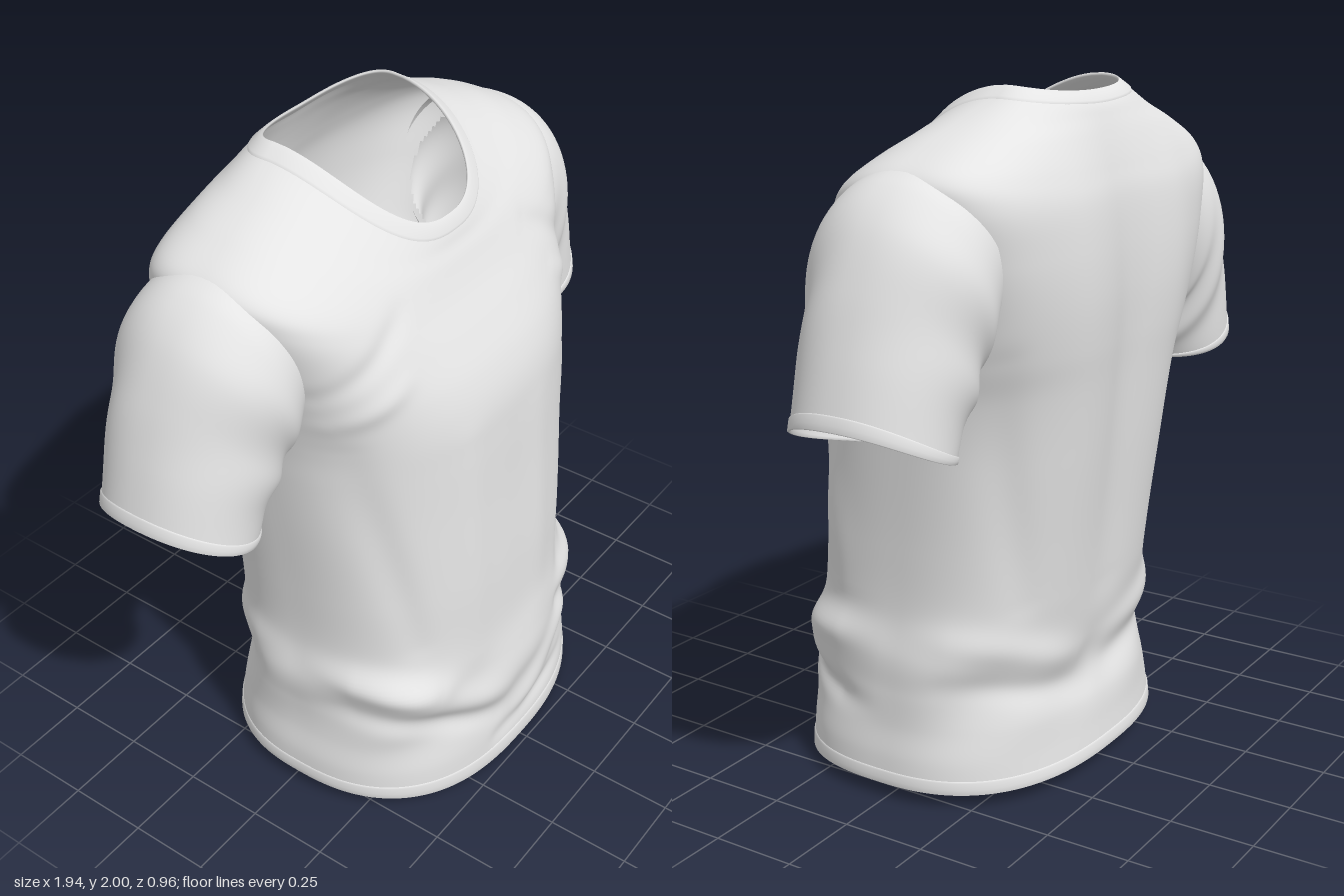
import * as THREE from 'three';

// Torso rings, hem to neck: half width, y at front / side / back, z at front / side / back
const TORSO = [
  [.565, .003, .045, .05, .472, .02, -.42],
  [.56, .11, .13, .13, .468, .02, -.41],
  [.545, .22, .22, .22, .458, .02, -.4],
  [.54, .32, .32, .32, .465, .02, -.375],
  [.54, .42, .42, .42, .455, .01, -.383],
  [.513, .55, .55, .55, .44, 0, -.4],
  [.515, .75, .75, .75, .43, -.01, -.42],
  [.53, 1, 1, 1, .413, -.04, -.447],
  [.543, 1.2, 1.17, 1.2, .402, -.08, -.465],
  [.555, 1.32, 1.28, 1.32, .39, -.12, -.475],
  [.58, 1.42, 1.42, 1.45, .358, -.14, -.48],
  [.625, 1.52, 1.57, 1.58, .305, -.14, -.475],
  [.668, 1.6, 1.72, 1.7, .257, -.15, -.46],
  [.66, 1.65, 1.8, 1.78, .23, -.155, -.435],
  [.55, 1.69, 1.863, 1.86, .21, -.165, -.403],
  [.42, 1.72, 1.914, 1.91, .193, -.18, -.378],
  [.305, 1.75, 1.967, 1.945, .18, -.21, -.357],
  [.256, 1.79, 1.997, 1.975, .157, -.21, -.325],
];

// Sleeve rings, shoulder to cuff: top x, y / bottom x, y / centre z / half depth
const SLEEVE = [
  [.6, 1.828, .52, 1.3, -.14, .25],
  [.705, 1.784, .545, 1.24, -.14, .266],
  [.795, 1.697, .56, 1.2, -.143, .258],
  [.865, 1.545, .575, 1.16, -.147, .243],
  [.92, 1.39, .595, 1.12, -.148, .23],
  [.967, 1.21, .622, 1.085, -.148, .226],
];

// Creases: x1, y1, x2, y2, depth (negative is a valley), width
const FRONT_FOLDS = [
  [-.54, .48, -.34, .42, .03, .05], [-.52, .36, -.12, .2, -.018, .04],
  [-.45, .42, -.1, .27, .012, .05], [.27, .37, .56, .25, -.022, .035],
  [0, .14, .42, .38, .018, .05], [.3, .42, .54, .47, .025, .05],
  [-.12, .1, .3, .13, -.012, .03], [.52, 1.3, .3, .5, -.012, .04],
  [.4, 1.2, .48, .6, .012, .04], [-.5, 1.3, -.38, .6, -.01, .04],
  [-.2, 1.25, -.2, .5, .008, .06], [.12, 1.2, .12, .5, .008, .06],
  [-.55, 1.5, -.3, 1.66, -.01, .03], [.55, 1.5, .3, 1.66, -.01, .03],
  [-.52, 1.4, -.36, 1.5, .01, .03], [.52, 1.4, .36, 1.5, .01, .03],
];
const BACK_FOLDS = [
  [0, 1.85, 0, .6, -.026, .1], [-.26, 1.75, -.22, .6, .012, .1],
  [.26, 1.75, .22, .6, .012, .1], [-.53, .5, -.05, .38, .015, .05],
  [-.5, .38, -.05, .3, -.01, .04], [.53, .5, .15, .38, .014, .05],
  [.5, .36, .1, .28, -.01, .04], [.5, 1.3, .36, .6, -.012, .05],
  [-.5, 1.3, -.36, .6, -.012, .05],
];

const clamp = THREE.MathUtils.clamp;
const smooth = THREE.MathUtils.smoothstep;
const power = (a, e) => Math.sign(a) * Math.abs(a) ** e;

// Smoothly interpolated row of a ring table
function rowAt(table, v) {
  const last = table.length - 1;
  const i = Math.min(Math.floor(v), last - 1), t = v - i;
  const [p, q, r, s] = [-1, 0, 1, 2].map(k => table[clamp(i + k, 0, last)]);
  return q.map((b, k) => {
    const m0 = (r[k] - p[k]) / 2, m1 = (s[k] - b) / 2, d = r[k] - b;
    return b + t * (m0 + t * (3 * d - 2 * m0 - m1 + t * (m0 + m1 - 2 * d)));
  });
}

// Total crease height at a point of the cloth
function creases(folds, x, y) {
  let sum = 0;
  for (const [x1, y1, x2, y2, depth, width] of folds) {
    const dx = x2 - x1, dy = y2 - y1;
    const t = clamp(((x - x1) * dx + (y - y1) * dy) / (dx * dx + dy * dy), 0, 1);
    const dist = Math.hypot(x - x1 - t * dx, y - y1 - t * dy);
    sum += depth * Math.sin(Math.PI * (.15 + .7 * t)) * Math.exp(-((dist / width) ** 2));
  }
  return sum;
}

function torsoPoint(a, v, offset = 0) {
  const [w, yf, ys, yb, zf, zs, zb] = rowAt(TORSO, v);
  const c = Math.cos(a), s = Math.sin(a), m = Math.abs(s);
  // the shoulders are squarer than the waist, most of all at the back
  const square = smooth(v, 7, 11) * (1 - smooth(v, 11.5, 15));
  const e = .8 - square * (s > 0 ? .1 : .22);
  const x = w * power(c, e);
  const z = zs + ((s > 0 ? zf : zb) - zs) * m ** e;
  const y = ys + ((s > 0 ? yf : yb) - ys) * m ** (2 - .5 * smooth(v, 11, 17));
  const ripple = .008 * Math.sin(7 * a + 9 * y) * Math.exp(-(((y - .33) / .14) ** 2));
  const push = offset + ripple + creases(s > 0 ? FRONT_FOLDS : BACK_FOLDS, x, y) * clamp(m * 3, 0, 1);
  const up = .75 * smooth(v, 12, 16);
  return [x + c * push * (1 - up), y + up * push, z + s * push * (1 - up)];
}

function sleevePoint(side, a, v, offset = 0) {
  const [tx, ty, bx, by, zc, d] = rowAt(SLEEVE, v);
  const c = Math.cos(a), s = Math.sin(a);
  const len = Math.hypot(tx - bx, ty - by) / 2;
  const wave = .008 * Math.sin(3 * a + 2.6 * v) * Math.sin(Math.PI * v / 5) ** 2 * (1 - .5 * c);
  const k = c * (1 + (offset + wave) / len) / 2;
  return [
    side * ((tx + bx) / 2 + (tx - bx) * k),
    (ty + by) / 2 + (ty - by) * k - .025 * s * s * smooth(v, 3, 5),
    zc - side * power(s, .9) * (d + offset + wave),
  ];
}

// Closed rings joined into a smooth skin; keep() may leave faces out
function loft(point, around, along, keep = () => true) {
  const pos = [], index = [];
  for (let j = 0; j <= along; j++)
    for (let i = 0; i < around; i++) pos.push(...point(i / around * Math.PI * 2, j / along));
  const at = (n, k) => pos[n * 3 + k];
  for (let j = 0; j < along; j++) {
    for (let i = 0; i < around; i++) {
      const a = j * around + i, b = j * around + (i + 1) % around;
      const c = a + around, d = b + around;
      const mid = [0, 1, 2].map(k => (at(a, k) + at(d, k)) / 2);
      if (keep(...mid)) index.push(a, c, b, b, c, d);
    }
  }
  const geo = new THREE.BufferGeometry();
  geo.setAttribute('position', new THREE.Float32BufferAttribute(pos, 3));
  geo.setIndex(index);
  geo.computeVertexNormals();
  return geo;
}

// Folded edge band wrapped around a skin, from v0 to the open edge v1
function band(point, v0, v1, o, around) {
  const lip = (v1 - v0) * .08;
  const path = [[v0, 0], [v0 + lip, o], [(v0 + v1) / 2, o], [v1 - lip, o],
    [v1, 0], [v1 - lip, -o], [(v0 + v1) / 2, -o], [v0, -o]];
  if (v1 < v0) path.reverse();
  return loft((a, t) => point(a, ...path[Math.round(t * 7)]), around, 7);
}

export function createModel() {
  const shirt = new THREE.Group();
  shirt.name = 'shirt';
  const cloth = new THREE.MeshStandardMaterial({ color: 0xe4e4e4, side: THREE.DoubleSide });
  cloth.name = 'light grey cloth';
  const add = (name, geo) => {
    const mesh = new THREE.Mesh(geo, cloth);
    mesh.name = name;
    shirt.add(mesh);
  };

  // Torso, left open inside the armholes
  const outsideArmhole = (x, y, z) =>
    Math.abs(x) < .53 || ((y - 1.52) / .23) ** 2 + ((z + .14) / .22) ** 2 > 1;
  add('torso', loft((a, t) => torsoPoint(a, t * 17), 200, 170, outsideArmhole));
  add('collar', band(torsoPoint, 16, 17, .006, 120));
  add('bottomHem', band(torsoPoint, .55, 0, .004, 200));

  // Sleeves with stitched cuffs
  for (const [side, label] of [[1, 'left'], [-1, 'right']]) {
    const point = (a, v, o) => sleevePoint(side, a, v, o);
    add(label + 'Sleeve', loft((a, t) => point(a, t * 5), 80, 50));
    add(label + 'Cuff', band(point, 4.7, 5, .004, 80));
  }
  return shirt;
}
